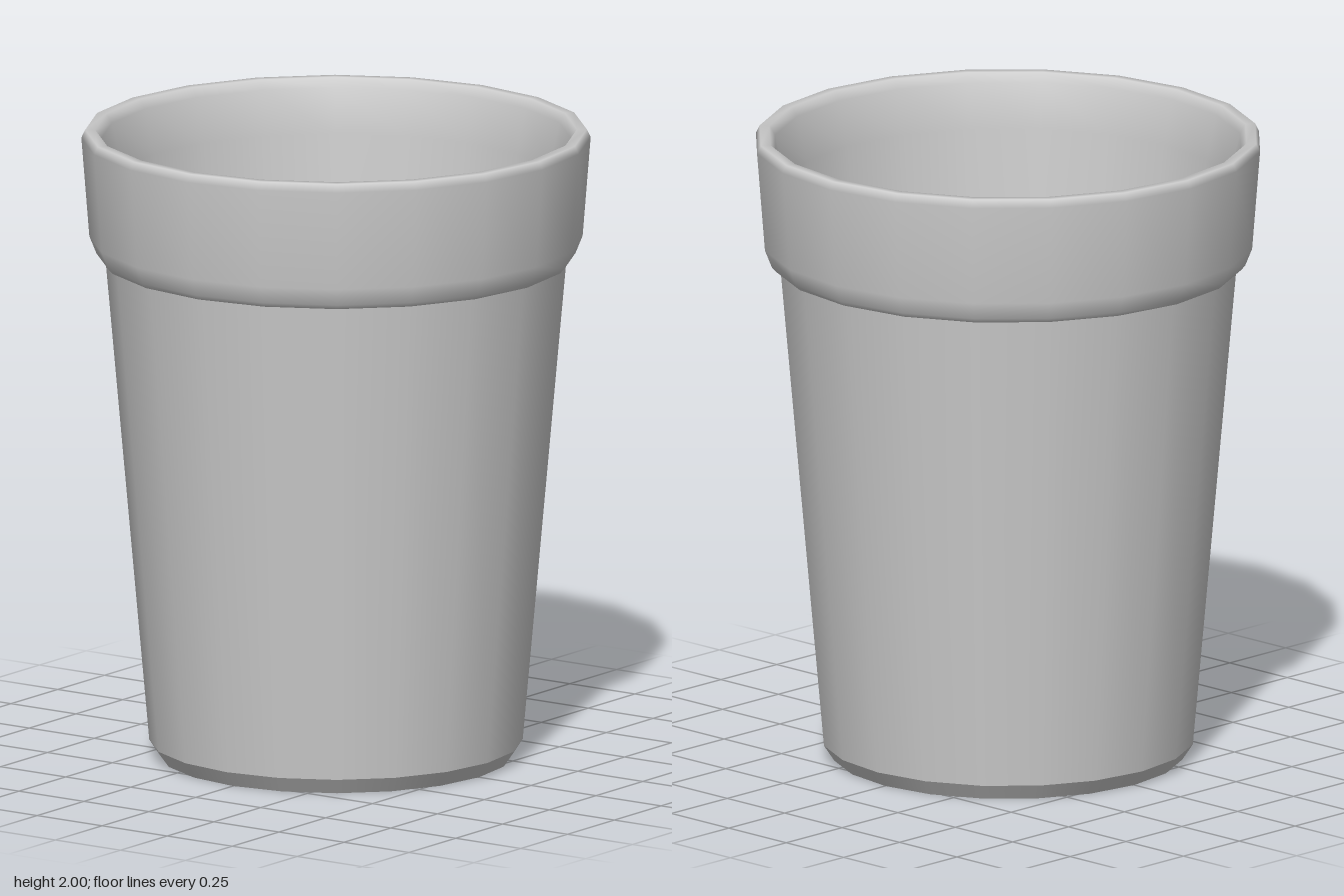
import * as THREE from 'three';

const SIDES = 20;

export function createModel() {
  const pot = new THREE.Group();
  pot.name = 'flowerPot';
  const material = new THREE.MeshStandardMaterial({ color: 0xcccccc });

  // Each section is turned from [radius, height] points; normals are smooth within a section.
  function turn(name, profile) {
    const points = profile.map(([r, y]) => new THREE.Vector2(r, y));
    const mesh = new THREE.Mesh(new THREE.LatheGeometry(points, SIDES), material);
    mesh.name = name;
    pot.add(mesh);
  }

  // Underside and chamfered foot
  turn('base', [[0, 0], [0.55, 0]]);
  turn('footChamfer', [[0.55, 0], [0.583, 0.05]]);

  // Tapered outer wall
  turn('outerWall', [[0.583, 0.05], [0.72, 1.59]]);

  // Collar: underside, then the rounded band, lip and inner wall in one smooth sweep
  turn('collarUnderside', [[0.72, 1.59], [0.735, 1.59]]);
  turn('collarAndInnerWall', [
    [0.735, 1.59], [0.748, 1.605], [0.77, 1.66], [0.795, 1.975],
    [0.783, 2], [0.752, 2], [0.735, 1.97], [0.7, 1.83], [0.595, 0.65],
  ]);

  // Floor inside the pot
  turn('floor', [[0.595, 0.65], [0, 0.65]]);

  return pot;
}
